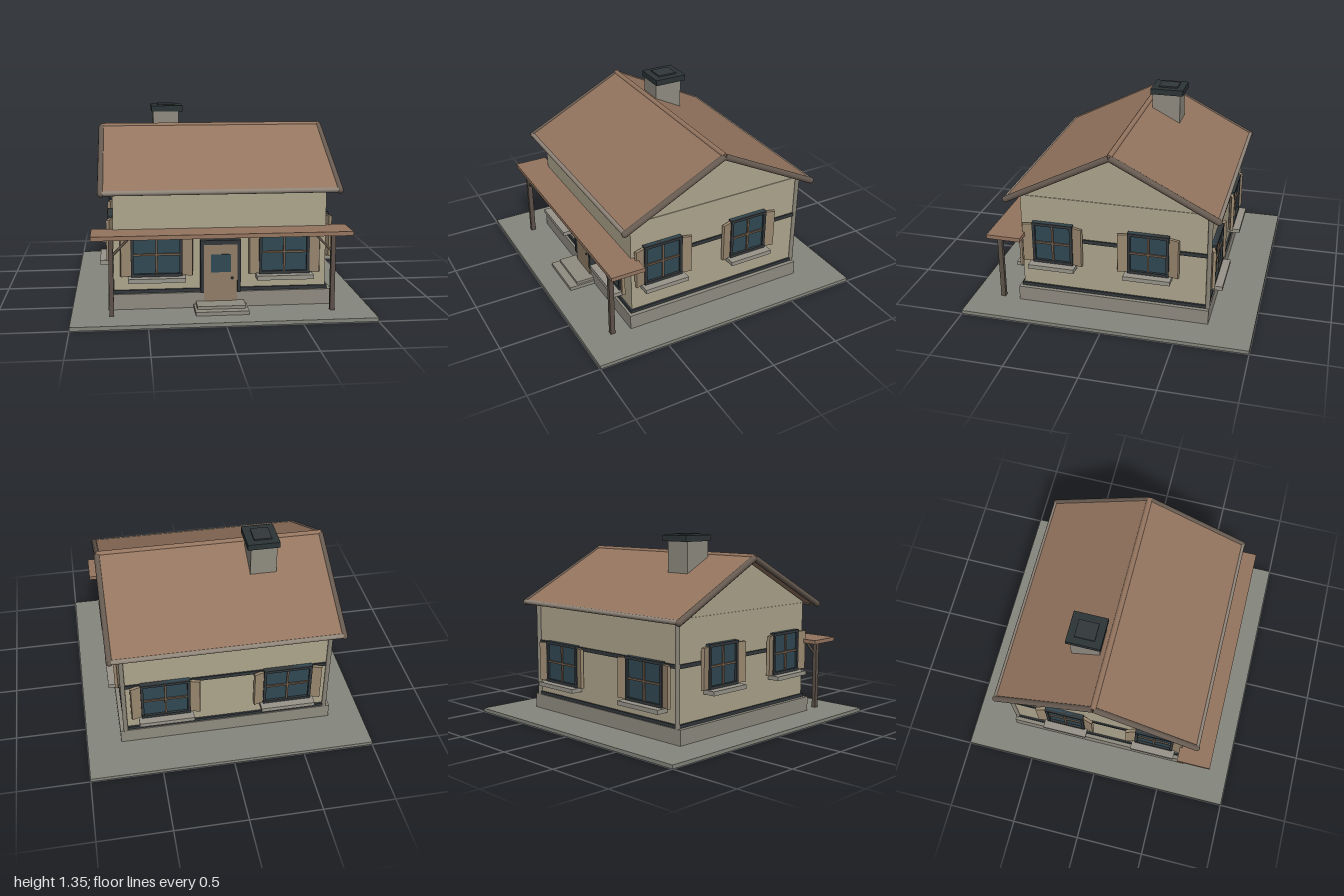
import * as THREE from 'three';

const mat = (color) => new THREE.MeshStandardMaterial({ color });
const M = {
  ground: mat(0x85867c), stone: mat(0x8f8b80), wall: mat(0xada48c), roof: mat(0x94755f),
  edge: mat(0x665a50), eave: mat(0x8f8478), dark: mat(0x32373a), glass: mat(0x304853),
  bar: mat(0x6e5a49), shutter: mat(0x9a8870), sill: mat(0x98948a), post: mat(0x5c5148),
  door: mat(0x8f7c66), pipe: mat(0x8b8578), cap: mat(0x2c3436),
};

// Box given by its min/max extents on each axis
function box(parent, name, m, x0, x1, y0, y1, z0, z1) {
  const mesh = new THREE.Mesh(new THREE.BoxGeometry(x1 - x0, y1 - y0, z1 - z0), m);
  mesh.position.set((x0 + x1) / 2, (y0 + y1) / 2, (z0 + z1) / 2);
  mesh.name = name;
  parent.add(mesh);
  return mesh;
}

// Round bar between two points
function bar(parent, name, m, a, b, r, sides = 12) {
  const p = new THREE.Vector3(...a), q = new THREE.Vector3(...b);
  const mesh = new THREE.Mesh(new THREE.CylinderGeometry(r, r, p.distanceTo(q), sides), m);
  mesh.position.copy(p).add(q).multiplyScalar(0.5);
  mesh.quaternion.setFromUnitVectors(new THREE.Vector3(0, 1, 0), q.sub(p).normalize());
  mesh.name = name;
  parent.add(mesh);
  return mesh;
}

// Window with frame, glazing bars, sill and shutters; origin at bottom middle, facing +z
function makeWindow(w, h) {
  const g = new THREE.Group(), hw = w / 2, t = 0.02;
  g.name = 'window';
  box(g, 'glass', M.glass, -hw, hw, 0, h, -0.02, 0.02);
  for (const s of [-1, 1]) {
    const x = s * (hw - t / 2);
    box(g, 'frameSide', M.dark, x - t / 2, x + t / 2, 0, h, -0.02, 0.035);
    const y = s < 0 ? 0 : h - t;
    box(g, 'frameRail', M.dark, -hw, hw, y, y + t, -0.02, 0.037);
    const sh = box(g, 'shutter', M.shutter, -0.037, 0.037, 0.005, h - 0.015, -0.01, 0.012);
    sh.position.x = s * (hw + 0.033);
    sh.position.z = 0.024;
    sh.rotation.y = -s * 0.3;
  }
  box(g, 'verticalBar', M.bar, -0.007, 0.007, t, h - t, 0, 0.03);
  box(g, 'crossBar', M.bar, -hw + t, hw - t, h / 2 - 0.007, h / 2 + 0.007, 0, 0.03);
  box(g, 'sill', M.sill, -hw - 0.02, hw + 0.02, -0.03, 0, -0.02, 0.09);
  return g;
}

export function createModel() {
  const house = new THREE.Group();
  house.name = 'house';
  const ridgeZ = -0.02, front = 0.63, back = -0.67, side = 0.72;

  // Ground and foundation
  box(house, 'ground', M.ground, -1, 1, 0, 0.025, -1, 1);
  box(house, 'foundation', M.stone, -0.76, 0.76, 0.025, 0.13, -0.69, 0.66);

  // Walls with gables
  const outline = new THREE.Shape([
    [-front, 0.13], [-back, 0.13], [-back, 0.84], [-ridgeZ, 1.175], [-front, 0.84],
  ].map(([x, y]) => new THREE.Vector2(x, y)));
  const wallGeo = new THREE.ExtrudeGeometry(outline, { depth: 2 * side, bevelEnabled: false });
  wallGeo.translate(0, 0, -side);
  wallGeo.rotateY(Math.PI / 2);
  const walls = new THREE.Mesh(wallGeo, M.wall);
  walls.name = 'walls';
  house.add(walls);
  for (const s of [-1, 1]) {
    const x = s * (side + 0.002);
    box(house, 'gableBoard', M.wall, x - 0.003, x + 0.003, 0.825, 0.831, back, front);
  }

  // Base trim and belt running round the walls
  box(house, 'baseTrim', M.dark, -0.733, 0.733, 0.13, 0.153, back - 0.013, front + 0.013);
  box(house, 'belt', M.dark, -0.73, 0.73, 0.515, 0.542, back - 0.01, front + 0.01);

  // Roof slopes with round edges
  const top = [1.195, ridgeZ], eaveY = 0.825;
  for (const z of [0.705, -0.74]) {
    const dz = z - top[1], dy = eaveY - top[0];
    const slab = box(house, 'roofSlope', M.roof, -0.8, 0.8, -0.011, 0.011, -Math.hypot(dz, dy) / 2, Math.hypot(dz, dy) / 2);
    slab.position.set(0, (top[0] + eaveY) / 2, (z + top[1]) / 2);
    slab.rotation.x = Math.atan(-dy / dz);
    bar(house, 'eaveEdge', M.eave, [-0.8, eaveY, z], [0.8, eaveY, z], 0.017);
    for (const x of [-0.795, 0.795]) {
      bar(house, 'gableEdge', M.edge, [x, top[0] - 0.005, top[1]], [x, eaveY - 0.003, z], 0.022);
      const end = new THREE.Mesh(new THREE.SphereGeometry(0.022, 12, 8), M.edge);
      end.position.set(x, eaveY - 0.003, z);
      end.name = 'gableEdgeEnd';
      house.add(end);
    }
  }
  bar(house, 'ridge', M.roof, [-0.8, 1.195, ridgeZ], [0.8, 1.195, ridgeZ], 0.02);

  // Chimney
  box(house, 'chimney', M.stone, -0.42, -0.235, 1.0, 1.3, -0.275, -0.07);
  box(house, 'chimneyCap', M.cap, -0.432, -0.207, 1.293, 1.335, -0.3, -0.06);
  box(house, 'chimneyFlue', M.dark, -0.385, -0.26, 1.33, 1.345, -0.25, -0.11);

  // Windows: two on every wall
  const place = (w, x, y, z, turn) => {
    const win = makeWindow(w, 0.3);
    win.position.set(x, y, z);
    win.rotation.y = turn;
    house.add(win);
  };
  for (const s of [-1, 1]) {
    place(0.345, s * 0.432, 0.248, front, 0);
    place(0.345, s * 0.432, 0.248, back, Math.PI);
    for (const z of [0.402, -0.268]) place(0.285, s * side, 0.345, z, s * Math.PI / 2);
  }

  // Door with frame, pane and knob
  const door = new THREE.Group();
  door.name = 'door';
  box(door, 'doorLeaf', M.door, -0.115, 0.11, 0.065, 0.46, 0.62, 0.668);
  for (const [a, b] of [[-0.138, -0.115], [0.11, 0.133]])
    box(door, 'doorJamb', M.dark, a, b, 0.13, 0.49, 0.62, 0.675);
  box(door, 'doorHead', M.dark, -0.138, 0.133, 0.46, 0.49, 0.62, 0.675);
  box(door, 'doorPane', M.glass, -0.068, 0.066, 0.27, 0.393, 0.65, 0.673);
  const knob = new THREE.Mesh(new THREE.SphereGeometry(0.009, 10, 8), M.dark);
  knob.position.set(0.075, 0.23, 0.675);
  knob.name = 'knob';
  door.add(knob);
  house.add(door);

  // Steps
  box(house, 'lowerStep', M.stone, -0.185, 0.17, 0.025, 0.05, 0.65, 0.85);
  box(house, 'upperStep', M.stone, -0.17, 0.155, 0.05, 0.07, 0.65, 0.79);

  // Porch roof, posts and braces; drainpipes at the back corners
  box(house, 'porchRoof', M.roof, -0.863, 0.86, 0.54, 0.568, 0.595, 0.835);
  for (const s of [-1, 1]) {
    const x = s * 0.735;
    box(house, 'porchPost', M.post, x - 0.015, x + 0.015, 0.025, 0.545, 0.772, 0.805);
    bar(house, 'porchBrace', M.post, [x, 0.42, 0.788], [s * 0.615, 0.545, 0.788], 0.009, 6);
    bar(house, 'drainpipe', M.pipe, [s * 0.722, 0.12, -0.678], [s * 0.722, 0.82, -0.678], 0.016);
  }
  return house;
}
